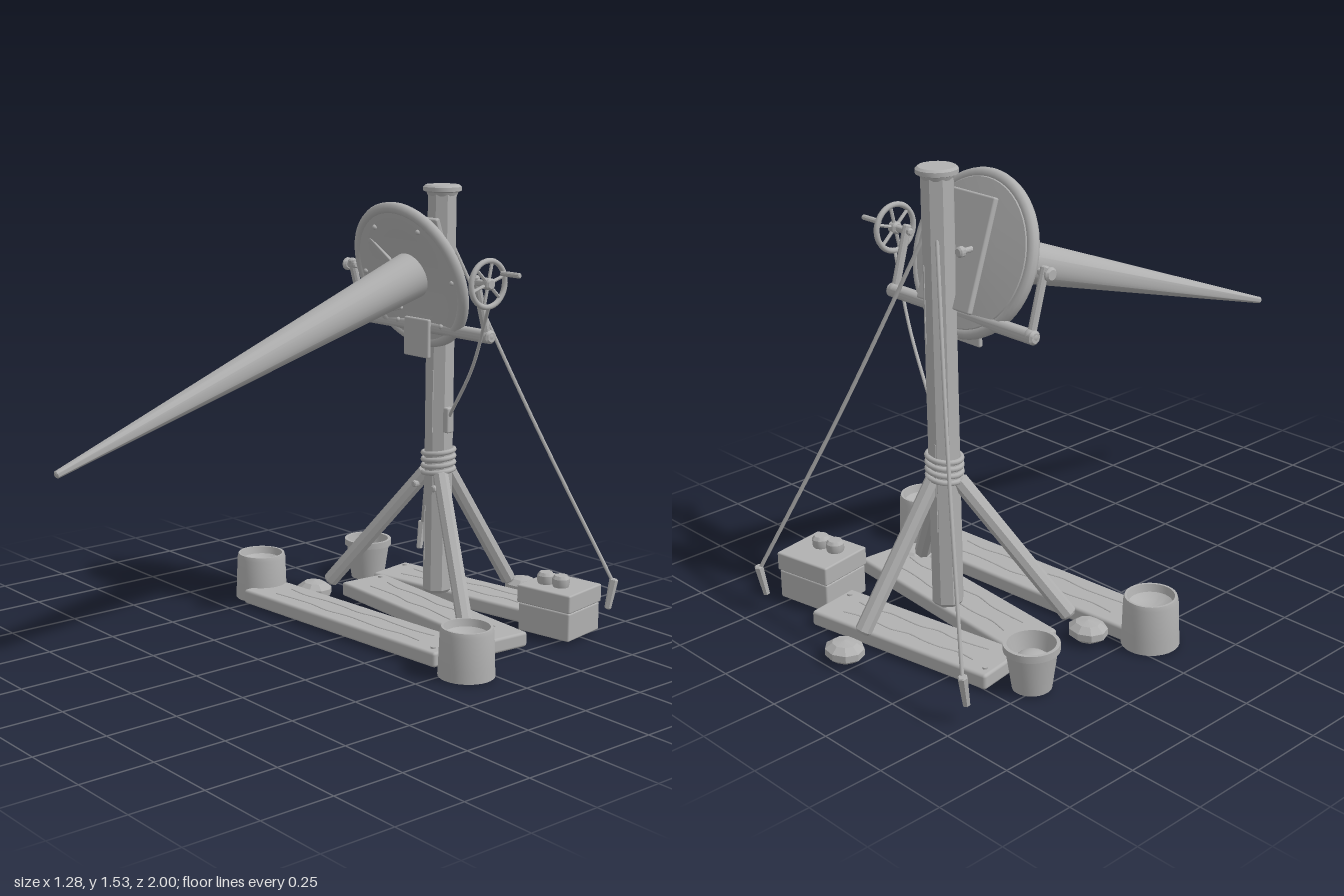
import * as THREE from 'three';
import { toCreasedNormals } from 'three/addons/utils/BufferGeometryUtils.js';
import { RoundedBoxGeometry } from 'three/addons/geometries/RoundedBoxGeometry.js';

const V = (x, y, z) => new THREE.Vector3(x, y, z);

export function createModel() {
  const model = new THREE.Group();
  model.name = 'crankedConeOnPost';
  const grey = new THREE.MeshStandardMaterial({ color: 0xb0b0b0 });
  grey.name = 'plain grey';

  function add(parent, name, geo, x = 0, y = 0, z = 0) {
    const m = new THREE.Mesh(geo, grey);
    m.name = name;
    m.position.set(x, y, z);
    parent.add(m);
    return m;
  }
  const box = (w, h, d, r = 0.006) => new RoundedBoxGeometry(w, h, d, 2, r);
  const lathe = (pts, n = 32) => toCreasedNormals(
    new THREE.LatheGeometry(pts.map(p => new THREE.Vector2(...p)), n), 0.6);
  const rope = (pts, r) => new THREE.TubeGeometry(new THREE.CatmullRomCurve3(pts), 24, r, 6);

  // Straight bar with bevelled ends between two points
  function bar(parent, name, a, b, r, n = 12, r2 = r) {
    const len = a.distanceTo(b), c = Math.min(r, r2) * 0.3;
    const geo = lathe([[0, 0], [r - c, 0], [r, c], [r2, len - c], [r2 - c, len], [0, len]], n);
    const m = add(parent, name, geo, a.x, a.y, a.z);
    m.quaternion.setFromUnitVectors(V(0, 1, 0), b.clone().sub(a).normalize());
    return m;
  }

  // Post, cap and cracks
  const postZ = -0.553;
  const post = add(model, 'post', lathe(
    [[0, 0], [0.043, 0], [0.0525, 0.012], [0.0525, 1.42], [0, 1.42]], 8), 0, 0.08, postZ);
  post.rotation.y = Math.PI / 8;
  add(model, 'postCap', lathe(
    [[0, 0], [0.05, 0], [0.055, 0.012], [0.066, 0.016], [0.066, 0.03], [0.058, 0.037], [0, 0.037]], 16), 0, 1.49, postZ);
  for (const [x, y, z, h] of [[0.018, 0.78, -0.504, 0.22], [-0.015, 0.3, -0.504, 0.2],
    [0.015, 1.1, -0.602, 0.25], [-0.015, 0.5, -0.602, 0.3]]) {
    add(model, 'postCrack', new THREE.BoxGeometry(0.005, h, 0.004), x, y, z);
  }

  // Rope lashing around the post
  for (let i = 0; i < 4; i++) {
    const ring = add(model, 'lashing', new THREE.TorusGeometry(0.055, 0.009, 8, 24), 0, 0.525 + i * 0.023, postZ);
    ring.rotation.set(Math.PI / 2 + 0.08, 0.1, 0);
  }

  // Three legs with stone feet
  const legs = [
    [V(-0.035, 0.52, -0.53), V(-0.34, 0.075, -0.335), V(-0.395, 0.035, -0.31)],
    [V(0.035, 0.52, -0.53), V(0.34, 0.075, -0.37), V(0.4, 0.035, -0.36)],
    [V(0.01, 0.53, -0.585), V(0.048, 0.07, -0.87), V(0.053, 0.035, -0.938)]];
  for (const [top, end, foot] of legs) {
    bar(model, 'leg', top, end, 0.028, 8);
    const stone = add(model, 'footStone', toCreasedNormals(new THREE.SphereGeometry(1, 9, 5), 0.3), foot.x, foot.y, foot.z);
    stone.scale.set(0.072, 0.036, 0.062);
  }
  for (const s of [-1, 1]) bar(model, 'legBolt', V(s * 0.05, 0.475, -0.51), V(s * 0.05, 0.475, -0.478), 0.012);

  // Ground planks with grain lines and nails
  for (const [x, z, len, wid, turn] of [[-0.037, -0.19, 0.95, 0.18, 0.07],
    [0.065, -0.465, 0.82, 0.19, -0.08], [-0.035, -0.725, 0.71, 0.19, 0.165]]) {
    const g = new THREE.Group();
    g.name = 'plankGroup';
    g.position.set(x, 0.03, z);
    g.rotation.y = turn;
    model.add(g);
    add(g, 'plank', box(len, 0.052, wid, 0.01));
    for (const s of [-1, 1]) {
      const pts = [];
      for (let i = 0; i <= 8; i++) pts.push(V((i / 8 - 0.5) * len * 0.75, 0.026, s * wid * 0.18 + Math.sin(i * 2.3 + s) * 0.006));
      add(g, 'grainLine', rope(pts, 0.003));
      add(g, 'nail', new THREE.CylinderGeometry(0.009, 0.009, 0.008, 10), s * len * 0.46, 0.028, s * wid * 0.3);
    }
  }

  // Buckets: two standing at the front, one narrower at the base behind
  for (const s of [-1, 1]) {
    add(model, 'bucket', lathe([[0, 0], [0.094, 0], [0.092, 0.04], [0.088, 0.15], [0.084, 0.165],
      [0.076, 0.165], [0.07, 0.14], [0.045, 0.125], [0, 0.12]]), s * 0.546, 0.002, -0.18);
  }
  add(model, 'backBucket', lathe([[0, 0], [0.062, 0], [0.08, 0.125], [0.088, 0.127], [0.088, 0.15],
    [0.076, 0.15], [0.064, 0.09], [0, 0.09]]), -0.48, 0.005, -0.64);
  add(model, 'bucketFilling', new THREE.SphereGeometry(0.056, 20, 10, 0, Math.PI * 2, 0, Math.PI / 2), -0.48, 0.09, -0.64).scale.y = 0.6;

  // Crate with lid and two knobs
  const crate = new THREE.Group();
  crate.name = 'crate';
  crate.position.set(0.435, 0, -0.725);
  crate.rotation.y = 0.17;
  model.add(crate);
  add(crate, 'crateBody', box(0.208, 0.1, 0.19), 0, 0.06, 0);
  add(crate, 'crateLid', box(0.216, 0.064, 0.2), 0, 0.143, 0);
  for (const s of [-1, 1]) add(crate, 'crateKnob', lathe(
    [[0, 0], [0.026, 0], [0.03, 0.012], [0.03, 0.032], [0.022, 0.043], [0, 0.044]], 20), -0.012 + s * 0.031, 0.172, 0.02);

  // Tilted head: dish, long cone and back panel
  const head = new THREE.Group();
  head.name = 'head';
  head.position.set(0, 1.226, -0.41);
  head.rotation.x = 0.331;
  model.add(head);
  add(head, 'dish', lathe([[0, -0.03], [0.12, -0.028], [0.235, -0.02], [0.25, -0.005], [0.25, 0.012],
    [0.235, 0.014], [0.16, 0.004], [0, -0.006]], 48)).rotation.x = Math.PI / 2;
  add(head, 'dishRim', new THREE.TorusGeometry(0.247, 0.02, 10, 56));
  bar(head, 'cone', V(0, 0, -0.005), V(0, 0, 1.489), 0.081, 32, 0.012);
  for (let i = 0; i < 6; i++) {
    const a = i * Math.PI / 3;
    add(head, 'dishBolt', new THREE.SphereGeometry(0.009, 10, 8), 0.218 * Math.cos(a), 0.2 * Math.sin(a), 0.013);
  }
  add(head, 'dishPatch', box(0.08, 0.075, 0.012, 0.004), -0.125, -0.105, 0.008).rotation.z = 0.25;
  add(head, 'dishStrip', box(0.14, 0.02, 0.012, 0.004), -0.11, 0.075, 0.006).rotation.z = -0.76;
  add(head, 'backPanel', box(0.24, 0.36, 0.02), 0, 0.005, -0.076);

  // Bolts behind the panel and a plate hanging below the dish
  for (const s of [-1, 1]) {
    bar(model, 'panelBolt', V(s * 0.07, 1.27, -0.47), V(s * 0.07, 1.27, -0.525), 0.009);
    bar(model, 'panelBoltHead', V(s * 0.07, 1.27, -0.515), V(s * 0.07, 1.27, -0.54), 0.017);
  }
  add(model, 'hangingPlate', box(0.125, 0.135, 0.016), 0, 1.01, -0.445);

  // Crossbar with upright arms
  bar(model, 'crossbar', V(-0.335, 1.048, -0.473), V(0.335, 1.048, -0.473), 0.023, 16);
  for (const s of [-1, 1]) {
    bar(model, 'arm', V(s * 0.313, 1.045, -0.473), V(s * 0.313, 1.255, -0.412), 0.014, 10);
    add(model, 'armJoint', new THREE.SphereGeometry(0.024, 16, 10), s * 0.313, 1.05, -0.472);
    bar(model, 'axle', V(s * 0.29, 1.234, -0.416), V(s * 0.375, 1.234, -0.416).setX(s > 0 ? 0.385 : -0.34), 0.012);
  }
  bar(model, 'axleKnob', V(-0.328, 1.234, -0.416), V(-0.348, 1.234, -0.416), 0.023);

  // Crank wheel with six spokes and a handle
  const wheel = new THREE.Group();
  wheel.name = 'crankWheel';
  wheel.position.set(0.37, 1.234, -0.416);
  wheel.rotation.y = Math.PI / 2;
  model.add(wheel);
  add(wheel, 'wheelRim', new THREE.TorusGeometry(0.076, 0.0095, 8, 36));
  bar(wheel, 'wheelHub', V(0, 0, -0.016), V(0, 0, 0.018), 0.02, 16);
  for (let i = 0; i < 6; i++) {
    const a = i * Math.PI / 3 + 0.3;
    bar(wheel, 'spoke', V(0, 0, 0), V(0.075 * Math.cos(a), 0.075 * Math.sin(a), 0), 0.006, 6);
  }
  bar(wheel, 'handle', V(0.06, 0.03, 0), V(0.06, 0.03, 0.085), 0.009, 10);

  // Cord from the wheel to a cleat on the post
  add(model, 'wheelCord', rope([V(0.37, 1.155, -0.42), V(0.25, 0.94, -0.47), V(0.066, 0.73, -0.54)], 0.006));
  add(model, 'cleat', box(0.026, 0.09, 0.032), 0.058, 0.715, -0.543);

  // Guy ropes and stakes
  for (const s of [-1, 1]) {
    add(model, 'guyRope', rope([V(s * 0.03, 1.31, -0.585), V(s * 0.25, 0.735, -0.755), V(s * 0.497, 0.15, -0.935)], 0.0065));
    bar(model, 'stake', V(s * 0.49, 0.06, -0.915), V(s * 0.497, 0.168, -0.935), 0.012, 6, 0.016);
  }
  return model;
}
